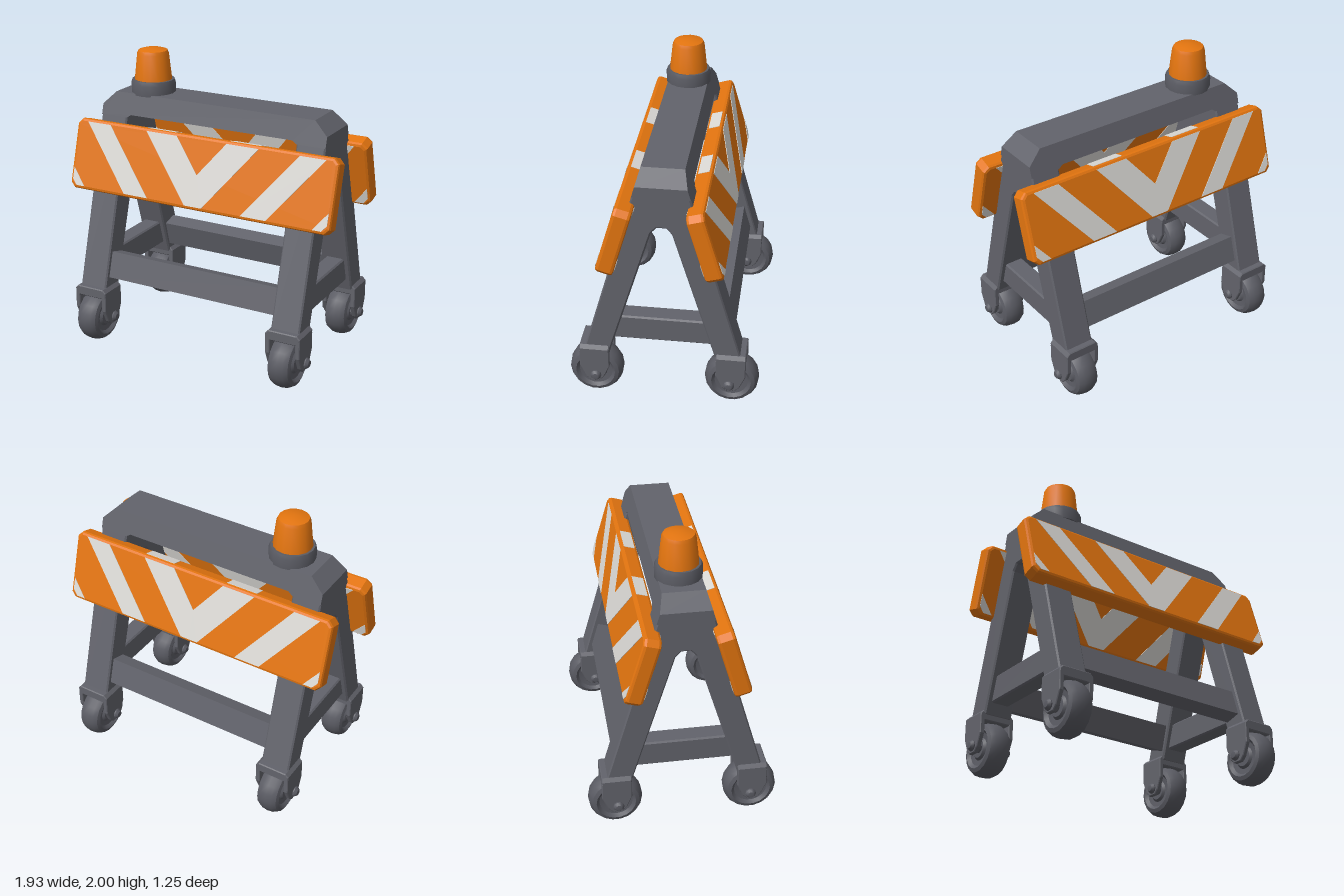
import * as THREE from 'three';
import { toCreasedNormals } from 'three/addons/utils/BufferGeometryUtils.js';

const material = (name, color) => {
  const m = new THREE.MeshStandardMaterial({ color });
  m.name = name;
  return m;
};

export function createModel() {
  const model = new THREE.Group();
  model.name = 'roadBarrier';
  const grey = material('frame grey', 0x62636b);
  const dark = material('wheel grey', 0x5a5b63);
  const orange = material('safety orange', 0xe2740f);
  const white = material('stripe white', 0xdcdad6);

  const add = (parent, name, geometry, mat, x = 0, y = 0, z = 0) => {
    const mesh = new THREE.Mesh(geometry, mat);
    mesh.name = name;
    mesh.position.set(x, y, z);
    parent.add(mesh);
    return mesh;
  };
  // Extrusion centred on its depth, with an inward bevel
  const slab = (points, depth, bevel = 0.01, segments = 1) => {
    const shape = new THREE.Shape(points.map(p => new THREE.Vector2(...p)));
    const geo = new THREE.ExtrudeGeometry(shape, {
      depth: depth - 2 * bevel, bevelEnabled: bevel > 0, bevelSize: bevel,
      bevelThickness: bevel, bevelOffset: -bevel, bevelSegments: segments,
    });
    return geo.translate(0, 0, bevel - depth / 2);
  };
  // Same, for a profile given as (z, y) and extruded along x
  const slabX = (...args) => slab(...args).rotateY(-Math.PI / 2);
  const lathe = (points, sides, crease = 0.6) => toCreasedNormals(
    new THREE.LatheGeometry(points.map(p => new THREE.Vector2(...p)), sides), crease);

  // A-shaped end frames
  const half = [[0.169, 1.58], [0.511, 0.38], [0.34, 0.38], [0.065, 1.29], [0.03, 1.33]];
  const aProfile = [...half, ...half.map(([z, y]) => [-z, y]).reverse()].reverse();
  for (const s of [1, -1]) {
    add(model, 'endFrame', slabX(aProfile, 0.2), grey, s * 0.73);
    add(model, 'sideBrace', slabX(
      [[-0.36, 0.455], [0.36, 0.455], [0.33, 0.63], [-0.33, 0.63]], 0.13), grey, s * 0.73);
  }

  // Top beam with cut corners, narrowing upward to follow the legs
  const beam = slab([[-0.83, 1.54], [-0.63, 1.54], [-0.6, 1.56], [0.6, 1.56], [0.63, 1.54],
    [0.83, 1.54], [0.83, 1.61], [0.735, 1.7], [-0.735, 1.7], [-0.83, 1.61]], 2, 0);
  const pos = beam.attributes.position;
  for (let i = 0; i < pos.count; i++) {
    pos.setZ(i, Math.sign(pos.getZ(i)) * (0.135 + 0.285 * (1.7 - pos.getY(i))));
  }
  beam.computeVertexNormals();
  add(model, 'topBeam', beam, grey);

  // Warning light
  add(model, 'lightBase', lathe([[0, 1.69], [0.15, 1.69], [0.152, 1.76], [0.142, 1.787],
    [0, 1.787]], 16), dark, -0.525);
  add(model, 'lightLens', lathe([[0.128, 1.78], [0.108, 1.96], [0.098, 1.982],
    [0.06, 1.993], [0, 2]], 16), orange, -0.525);

  // Stripe edge: x on the board for a stripe that starts at u on the top edge
  const top = 0.22, low = -0.22;
  const edge = (u, y) => [u - 0.8 * (top - y), y];
  const chevron = [[0, top - 0.185 / 0.8], [0, low], edge(0.415, low), edge(0.415, top), edge(0.185, top)];
  const band = [edge(0.7, low), edge(0.88, low), edge(0.88, top), edge(0.7, top)];
  const corner = [edge(1.2, low), [0.91, low], [0.945, -0.18], edge(1.2, -0.0988)];
  const mirror = pts => pts.map(([x, y]) => [-x, y]).reverse();
  const w = 0.965, h = 0.24, c = 0.035;
  const outline = [[c - w, -h], [w - c, -h], [w, c - h], [w, h - c], [w - c, h],
    [c - w, h], [-w, h - c], [-w, c - h]];

  // Front and back halves: striped board, long brace and two casters
  for (const turn of [0, Math.PI]) {
    const side = new THREE.Group();
    side.name = turn ? 'backSide' : 'frontSide';
    side.rotation.y = turn;
    model.add(side);

    const board = new THREE.Group();
    board.name = 'stripedBoard';
    board.position.set(0, 1.275, 0.28);
    board.rotation.x = -0.285;
    side.add(board);
    add(board, 'boardBody', slab(outline, 0.115, 0.02, 2), orange);
    for (const stripe of [chevron, band, corner]) {
      for (const pts of [stripe, mirror(stripe)]) {
        add(board, 'whiteStripe', slab(pts, 0.121, 0), white);
      }
    }
    for (const s of [1, -1]) {
      add(board, 'whiteTopStripe', new THREE.BoxGeometry(0.22, 0.006, 0.075), white, s * 0.31, h, 0);
    }

    add(side, 'longBrace', slabX([[-0.055, -0.09], [0.055, -0.09], [0.055, 0.09], [-0.055, 0.09]], 1.3),
      grey, 0, 0.545, 0.375).rotation.x = -0.28;

    for (const s of [1, -1]) {
      const caster = new THREE.Group();
      caster.name = 'caster';
      caster.position.set(s * 0.73, 0, 0.445);
      side.add(caster);
      // Fork crown and its two tapered cheeks
      add(caster, 'forkCrown', slab([[-0.122, 0.34], [0.122, 0.34], [0.122, 0.385], [0.1, 0.408],
        [-0.1, 0.408], [-0.122, 0.385]], 0.195, 0.006), grey);
      const cheek = [[-0.0975, 0.37], [-0.0975, 0.25], [-0.06, 0.165], [-0.03, 0.135],
        [0.03, 0.135], [0.06, 0.165], [0.0975, 0.25], [0.0975, 0.37]];
      for (const k of [1, -1]) {
        add(caster, 'forkCheek', slabX(cheek, 0.032, 0.005), grey, k * 0.106);
      }
      // Wheel with rounded tread, and the axle with its end nuts
      const wheel = lathe([[0, -0.07], [0.06, -0.07], [0.075, -0.055], [0.11, -0.06], [0.13, -0.08],
        [0.155, -0.07], [0.173, -0.04], [0.178, 0], [0.173, 0.04], [0.155, 0.07], [0.13, 0.08],
        [0.11, 0.06], [0.075, 0.055], [0.06, 0.07], [0, 0.07]], 18).rotateZ(Math.PI / 2);
      add(caster, 'wheel', wheel, dark, 0, 0.178, 0.003);
      const axle = lathe([[0, -0.15], [0.022, -0.147], [0.036, -0.13], [0.036, 0.13],
        [0.022, 0.147], [0, 0.15]], 10).rotateZ(Math.PI / 2);
      add(caster, 'axle', axle, dark, 0, 0.182, -0.008);
    }
  }
  return model;
}
